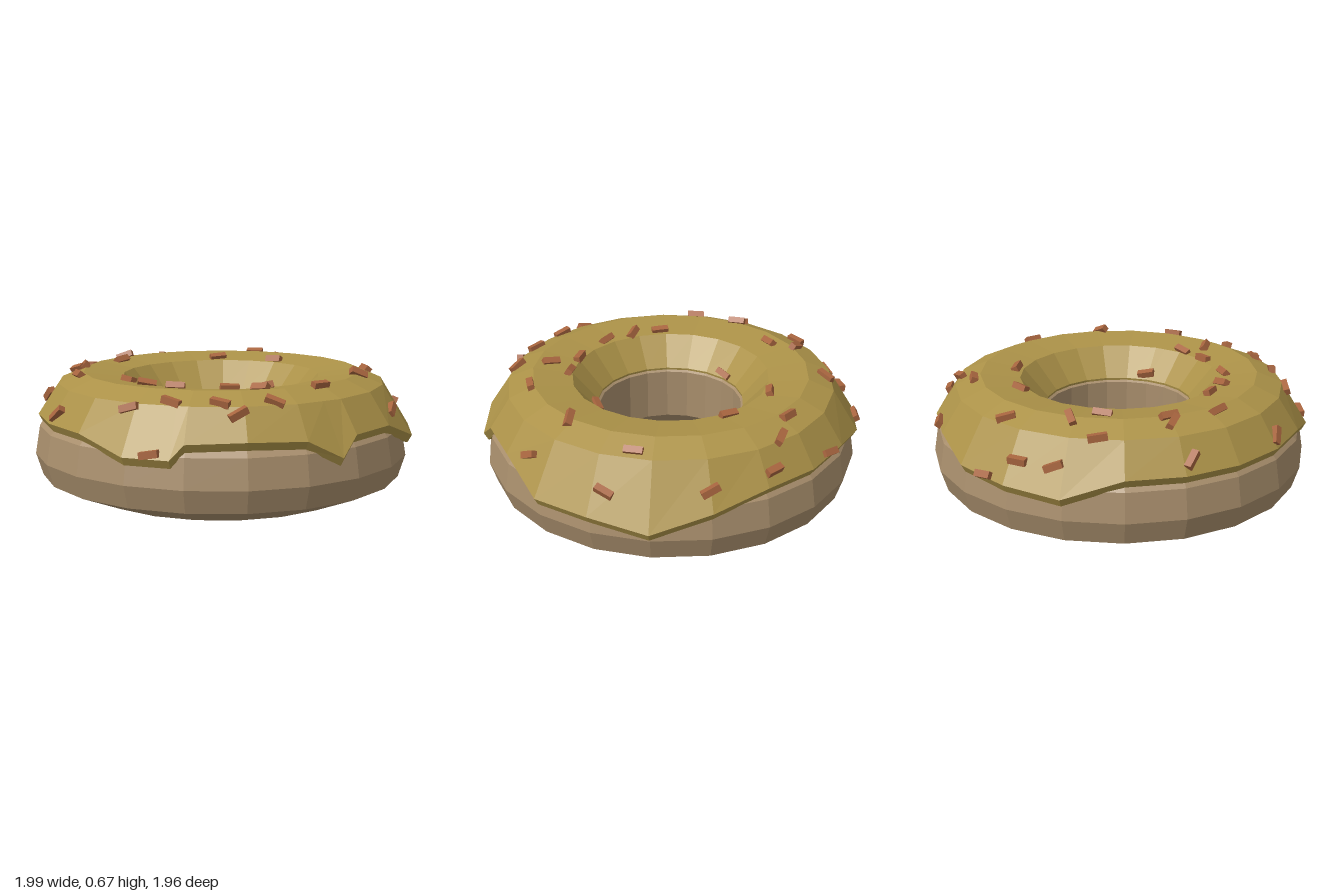
import * as THREE from 'three';

const SIDES = 21, STEP = (Math.PI * 2) / SIDES, START = -0.127;
const CX = -0.025, CZ = 0.01;

// Icing hem: [side index, height]; fractional indices are drips on a facet
const HEM = [
  [0, 0.28], [1, 0.32], [2, 0.32], [3, 0.42], [4, 0.42], [4.4, 0.33], [5, 0.42],
  [6, 0.43], [7, 0.42], [7.22, 0.35], [8, 0.35], [9, 0.42], [10, 0.42], [11, 0.42],
  [12, 0.42], [13, 0.42], [14, 0.33], [15, 0.345], [16, 0.36], [17, 0.42],
  [18, 0.42], [19, 0.42], [20, 0.36],
];
const hemRadius = (y) => 0.955 + (0.42 - y) * 0.5;

// Top of the icing from the hole to the shoulder: [radius, height]
const ICING_TOP = [[0.385, 0.45], [0.515, 0.6], [0.72, 0.628], [0.85, 0.575]];

function hemAt(k) {
  const pts = [...HEM, [SIDES, HEM[0][1]]];
  const i = pts.findIndex((p, n) => n > 0 && p[0] >= k);
  const [a, b] = [pts[i - 1], pts[i]];
  return THREE.MathUtils.lerp(a[1], b[1], (k - a[0]) / (b[0] - a[0]));
}

// Point on the polygonal ring; fractional sides lie on the straight facet
function ringPoint(k, [r, y]) {
  const at = (n) => new THREE.Vector3(
    CX + r * Math.cos(START + n * STEP), y, CZ + r * Math.sin(START + n * STEP));
  const n = Math.floor(k);
  return at(n).lerp(at(n + 1), k - n);
}

// Closed ring through cross-sections {k, profile}
function ringGeometry(sections) {
  const points = [];
  sections.forEach((s, i) => {
    const t = sections[(i + 1) % sections.length];
    s.profile.forEach((p, j) => {
      const m = (j + 1) % s.profile.length;
      const a = ringPoint(s.k, p), b = ringPoint(t.k, t.profile[j]);
      const c = ringPoint(t.k, t.profile[m]), d = ringPoint(s.k, s.profile[m]);
      points.push(a, b, c, a, c, d);
    });
  });
  const g = new THREE.BufferGeometry().setFromPoints(points);
  g.computeVertexNormals();
  return g;
}

// Sprinkles in plan: x, z, turn in degrees
const SPRINKLES = [
  [-0.24, -0.94, 20], [-0.38, -0.84, 30], [-0.19, -0.78, 50], [-0.54, -0.75, 60],
  [-0.63, -0.57, 60], [-0.45, -0.59, -15], [-0.49, -0.44, 35], [-0.35, -0.22, 45],
  [-0.9, -0.24, -60], [-0.75, -0.23, -50], [-0.71, -0.22, 80], [-0.77, 0.03, -80],
  [-0.54, 0.19, -70], [-0.47, 0.33, 0], [-0.9, 0.29, -25], [-0.35, 0.45, -20],
  [-0.6, 0.65, -30], [-0.42, 0.73, -40], [-0.54, 0.83, -20], [-0.21, 0.81, -35],
  [-0.14, 0.87, 15], [0.04, 0.83, -30], [0.02, 0.65, -50], [-0.1, 0.53, 0],
  [0.07, 0.53, 0], [0.18, 0.36, 40], [0.31, 0.66, 25], [0.61, 0.36, 5],
  [0.72, 0.53, 80], [0.9, 0.11, 60], [0.78, 0, 90], [0.82, -0.37, -40],
  [0.62, -0.63, -35], [0.49, -0.64, -10], [0.33, -0.65, -30], [0.32, -0.86, -35],
  [0.37, -0.37, -40], [0.08, -0.53, 5],
];

// Height and normal of the icing at a plan position
function icingSurface(x, z) {
  const angle = Math.atan2(z - CZ, x - CX);
  const k = THREE.MathUtils.euclideanModulo((angle - START) / STEP, SIDES);
  const off = (k - Math.floor(k) - 0.5) * STEP;
  const r = Math.hypot(x - CX, z - CZ) * Math.cos(off) / Math.cos(STEP / 2);
  const hem = hemAt(k);
  const profile = [...ICING_TOP, [hemRadius(hem), hem]];
  let i = 1;
  while (i < profile.length - 1 && profile[i][0] < r) i++;
  const [a, b] = [profile[i - 1], profile[i]];
  const slope = (b[1] - a[1]) / (b[0] - a[0]);
  const y = a[1] + slope * (r - a[0]);
  const normal = new THREE.Vector3(-slope * Math.cos(angle), 1, -slope * Math.sin(angle)).normalize();
  return { y, normal };
}

export function createModel() {
  const model = new THREE.Group();
  model.name = 'doughnut';
  const material = (color) => new THREE.MeshStandardMaterial({ color, flatShading: true });

  // Dough ring with a tapered base
  const doughProfile = [
    [0.505, 0], [0.375, 0.155], [0.375, 0.43], [0.5, 0.52], [0.75, 0.53],
    [0.85, 0.47], [0.95, 0.36], [0.975, 0.215], [0.94, 0.1], [0.7, 0],
  ];
  const doughSections = Array.from({ length: SIDES }, (_, k) => ({ k, profile: doughProfile }));
  const dough = new THREE.Mesh(ringGeometry(doughSections), material(0xa88e6c));
  dough.name = 'dough';
  model.add(dough);

  // Icing shell with a thick, dripping hem
  const icingSections = HEM.map(([k, y]) => {
    const r = hemRadius(y);
    return {
      k,
      profile: [...ICING_TOP, [r, y], [r - 0.022, y - 0.04], [0.92, y - 0.03],
        [0.74, 0.5], [0.52, 0.5], [0.39, 0.42]],
    };
  });
  const icing = new THREE.Mesh(ringGeometry(icingSections), material(0xac9248));
  icing.name = 'icing';
  model.add(icing);

  // Sprinkles lying on the icing
  const sprinkles = new THREE.Group();
  sprinkles.name = 'sprinkles';
  const stick = new THREE.BoxGeometry(0.092, 0.034, 0.034);
  const brown = material(0xa8653f);
  const up = new THREE.Vector3(0, 1, 0);
  SPRINKLES.forEach(([x, z, turn], i) => {
    const { y, normal } = icingSurface(x, z);
    const sprinkle = new THREE.Mesh(stick, brown);
    sprinkle.name = `sprinkle${i + 1}`;
    sprinkle.position.set(x, y, z).addScaledVector(normal, 0.008);
    const yaw = new THREE.Quaternion().setFromAxisAngle(up, THREE.MathUtils.degToRad(turn));
    const roll = new THREE.Quaternion().setFromEuler(new THREE.Euler(i * 0.9, 0, 0.15 * Math.sin(i * 2.3)));
    sprinkle.quaternion.setFromUnitVectors(up, normal).multiply(yaw).multiply(roll);
    sprinkles.add(sprinkle);
  });
  model.add(sprinkles);

  return model;
}
